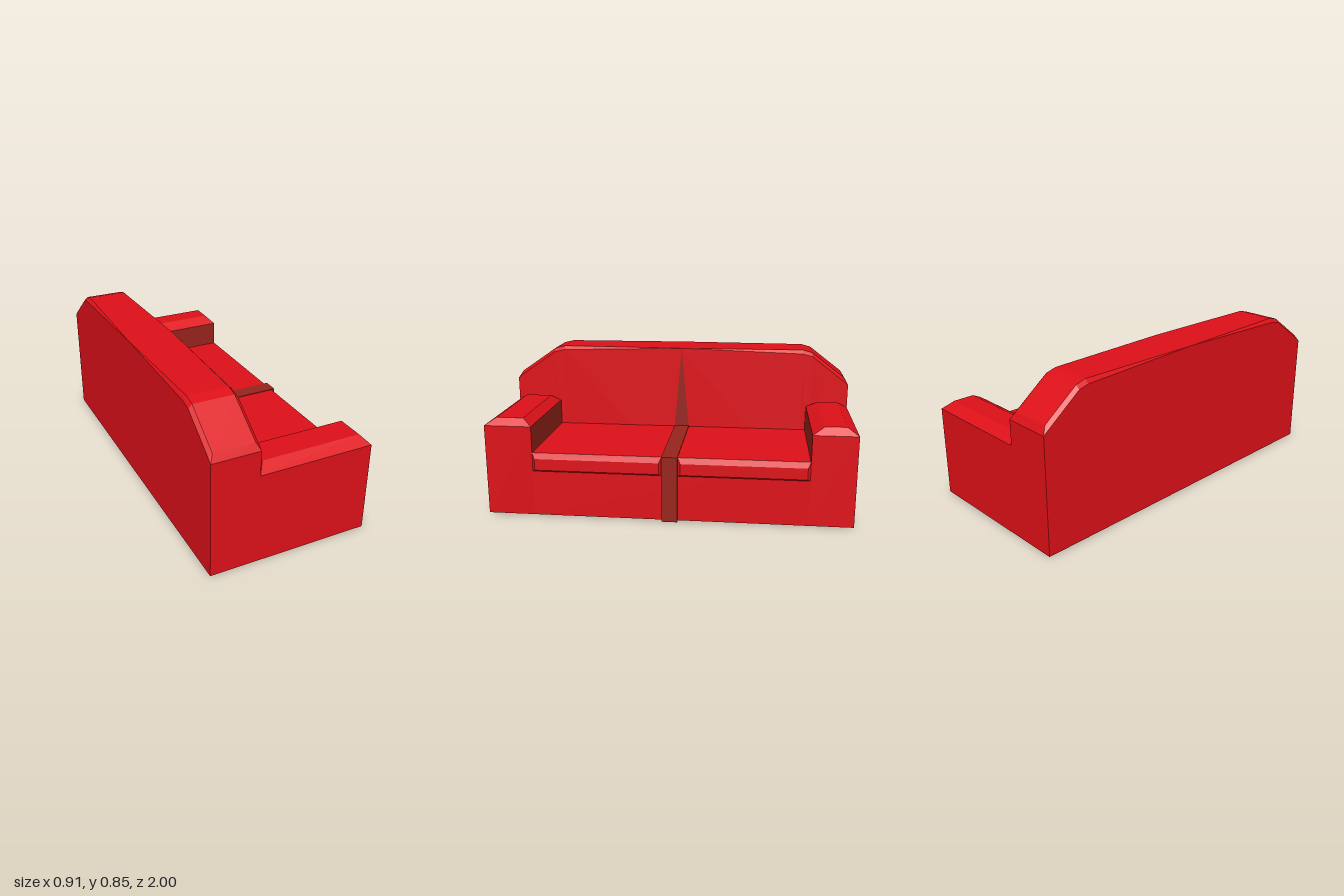
import * as THREE from 'three';

const red = new THREE.MeshStandardMaterial({ color: 0xdd1018, flatShading: true });
const brown = new THREE.MeshStandardMaterial({ color: 0x96241c, flatShading: true, side: THREE.DoubleSide });

const BOTTOM = 0.005, BACK = -0.455, BACK_FRONT = -0.195, FRONT = 0.437, SEAT = 0.363;
const ARM_L = 0.74, ARM_R = -0.76;     // inner faces of the arms
const STRAP_L = 0.03, STRAP_R = -0.057; // edges of the centre strap

// Faceted solid through convex rings of [x, y, z], counter-clockwise seen from the last ring's end
function loft(rings) {
  const pos = [];
  const tri = (a, b, c) => pos.push(...a, ...b, ...c);
  const n = rings[0].length;
  for (let k = 0; k < rings.length - 1; k++) {
    for (let j = 0; j < n; j++) {
      const m = (j + 1) % n;
      const [a, b, c, d] = [rings[k][j], rings[k][m], rings[k + 1][m], rings[k + 1][j]];
      tri(a, b, c);
      tri(a, c, d);
    }
  }
  const first = rings[0], last = rings[rings.length - 1];
  for (let j = 1; j < n - 1; j++) {
    tri(first[0], first[j + 1], first[j]);
    tri(last[0], last[j], last[j + 1]);
  }
  const g = new THREE.BufferGeometry();
  g.setAttribute('position', new THREE.Float32BufferAttribute(pos, 3));
  g.computeVertexNormals();
  return g;
}

export function createModel() {
  const sofa = new THREE.Group();
  sofa.name = 'sofa';
  const add = (name, geometry, material = red) => {
    const mesh = new THREE.Mesh(geometry, material);
    mesh.name = name;
    sofa.add(mesh);
    return mesh;
  };

  // Seat block between the arms
  add('seatBase', new THREE.BoxGeometry(FRONT - BACK_FRONT, SEAT - BOTTOM, ARM_L - ARM_R))
    .position.set((FRONT + BACK_FRONT) / 2, (SEAT + BOTTOM) / 2, (ARM_L + ARM_R) / 2);

  // Backrest: sections along z as [z, edge height, top height, bevel inset]
  const sections = [
    [-1, 0.645, 0.645, 0], [-0.975, 0.665, 0.685, 0.02], [-0.785, 0.81, 0.83, 0.02],
    [-0.73, 0.824, 0.845, 0.02], [-0.013, 0.845, 0.845, 0], [0.705, 0.824, 0.845, 0.02],
    [0.765, 0.81, 0.83, 0.02], [0.975, 0.665, 0.685, 0.02], [1, 0.645, 0.645, 0],
  ];
  add('backrest', loft(sections.map(([z, edge, top, i]) => [
    [BACK, BOTTOM, z], [BACK_FRONT, BOTTOM, z], [BACK_FRONT, edge, z],
    [BACK_FRONT - i, top, z], [BACK + i, top, z], [BACK, edge, z],
  ])));

  // Arms with bevelled tops and dark inner panels
  const rectY = (y, x0, x1, z0, z1) => [[x0, y, z1], [x1, y, z1], [x1, y, z0], [x0, y, z0]];
  const arms = [['left', ARM_L, 1, 0.79, 0.94, ARM_L - 0.002], ['right', -1, ARM_R, -0.94, -0.825, ARM_R + 0.002]];
  for (const [side, z0, z1, top0, top1, panelZ] of arms) {
    add(side + 'Arm', loft([
      rectY(BOTTOM, BACK_FRONT, FRONT, z0, z1),
      rectY(0.508, BACK_FRONT, FRONT, z0, z1),
      rectY(0.547, -0.155, 0.4, top0, top1),
    ]));
    add(side + 'ArmInnerPanel', new THREE.PlaneGeometry(FRONT - BACK_FRONT, 0.508 - SEAT), brown)
      .position.set((FRONT + BACK_FRONT) / 2, (0.508 + SEAT) / 2, panelZ);
  }

  // Bulging front edges of the two seat cushions
  const rectX = (x, y0, y1, z0, z1) => [[x, y0, z0], [x, y1, z0], [x, y1, z1], [x, y0, z1]];
  for (const [side, z0, z1] of [['left', STRAP_L, ARM_L], ['right', ARM_R, STRAP_R]]) {
    add(side + 'CushionFront', loft([
      rectX(FRONT - 0.005, 0.258, SEAT, z0, z1),
      rectX(FRONT, 0.258, SEAT, z0, z1),
      rectX(0.45, 0.268, 0.331, z0 + 0.015, z1 - 0.015),
    ]));
  }

  // Strap running over the seat and down the front
  const strap = new THREE.Shape([
    [BACK_FRONT, 0.36], [FRONT - 0.002, 0.36], [FRONT - 0.002, 0], [0.455, 0], [0.455, 0.367], [BACK_FRONT, 0.367],
  ].map(([x, y]) => new THREE.Vector2(x, y)));
  add('centreStrap', new THREE.ExtrudeGeometry(strap, { depth: STRAP_L - STRAP_R, bevelEnabled: false }), brown)
    .position.z = STRAP_R;

  // Tapering pleat up the backrest
  const pleat = new THREE.Shape([[-STRAP_L, SEAT], [-STRAP_R, SEAT], [0.013, 0.845]]
    .map(([x, y]) => new THREE.Vector2(x, y)));
  const pleatMesh = add('backrestPleat', new THREE.ShapeGeometry(pleat), brown);
  pleatMesh.rotation.y = Math.PI / 2;
  pleatMesh.position.x = BACK_FRONT + 0.002;

  return sofa;
}
